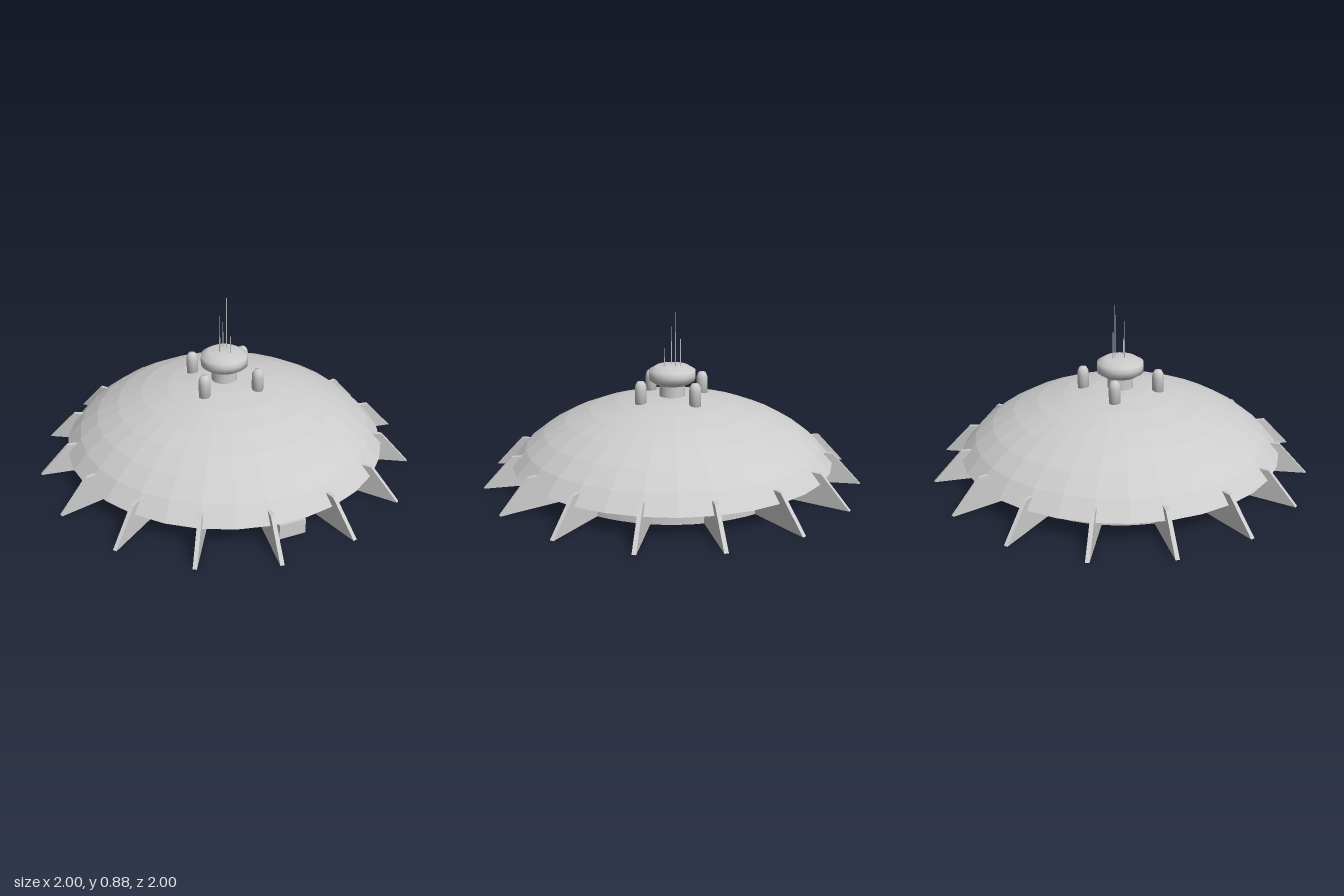
import * as THREE from 'three';

export function createModel() {
  const model = new THREE.Group();
  model.name = 'saucerBase';
  const grey = new THREE.MeshStandardMaterial({ color: 0xcccccc });
  grey.name = 'hull grey';

  const add = (name, geometry, x = 0, y = 0, z = 0, parent = model) => {
    const mesh = new THREE.Mesh(geometry, grey);
    mesh.name = name;
    mesh.position.set(x, y, z);
    parent.add(mesh);
    return mesh;
  };
  const faceted = (geometry) => {
    const flat = geometry.toNonIndexed();
    flat.computeVertexNormals();
    return flat;
  };
  const lathe = (points, segments) =>
    new THREE.LatheGeometry(points.map(([r, y]) => new THREE.Vector2(r, y)), segments);

  // Faceted dome: cap of a squashed sphere, closed by a flat underside
  const rim = THREE.MathUtils.degToRad(66.5);
  const rings = 7;
  const cap = [[0, 0.107]];
  for (let i = rings; i >= 0; i--) {
    const a = (rim * i) / rings;
    cap.push([0.927 * Math.sin(a), 0.44 - 0.554 * (1 - Math.cos(a))]);
  }
  add('dome', faceted(lathe(cap, 32)));

  // Round base drum under the dome
  add('baseDrum', new THREE.CylinderGeometry(0.685, 0.685, 0.11, 64), 0, 0.055, 0);

  // Sixteen radial fins, stepped on the inside
  const finShape = new THREE.Shape([
    [0.67, 0], [1, 0], [0.85, 0.16], [0.8, 0.16], [0.8, 0.084], [0.67, 0.084],
  ].map(([r, y]) => new THREE.Vector2(r, y)));
  const finGeometry = new THREE.ExtrudeGeometry(finShape, { depth: 0.02, bevelEnabled: false });
  finGeometry.translate(0, 0, -0.01);
  for (let i = 0; i < 16; i++) {
    add('fin', finGeometry).rotation.y = (i * Math.PI) / 8;
  }

  // Entrance block between two fins
  const a = THREE.MathUtils.degToRad(37.5);
  const entrance = add('entrance', new THREE.BoxGeometry(0.15, 0.078, 0.135),
    0.757 * Math.cos(a), 0.044, 0.757 * Math.sin(a));
  entrance.rotation.y = -a;

  // Control tower: neck and rounded head
  add('towerNeck', new THREE.CylinderGeometry(0.068, 0.068, 0.1, 32), 0, 0.47, 0);
  add('towerHead', lathe([
    [0, 0.5], [0.085, 0.5], [0.122, 0.523], [0.124, 0.55], [0.122, 0.577], [0.083, 0.6], [0, 0.6],
  ], 32));

  // Four pods around the tower
  const podGeometry = lathe([
    [0, 0.42], [0.03, 0.42], [0.031, 0.5], [0.028, 0.52], [0.018, 0.538], [0, 0.54],
  ], 16);
  for (let i = 0; i < 4; i++) {
    const t = (i * Math.PI) / 2;
    add('pod', podGeometry, 0.2 * Math.cos(t), 0, 0.2 * Math.sin(t));
  }

  // Antennas on the tower: x, z, top height
  for (const [x, z, top] of [
    [-0.002, -0.028, 0.88], [-0.012, 0.025, 0.8], [-0.028, -0.034, 0.74], [0.044, 0.01, 0.695],
  ]) {
    const h = top - 0.59;
    add('antenna', new THREE.CylinderGeometry(0.002, 0.003, h, 6), x, 0.59 + h / 2, z);
  }

  return model;
}
